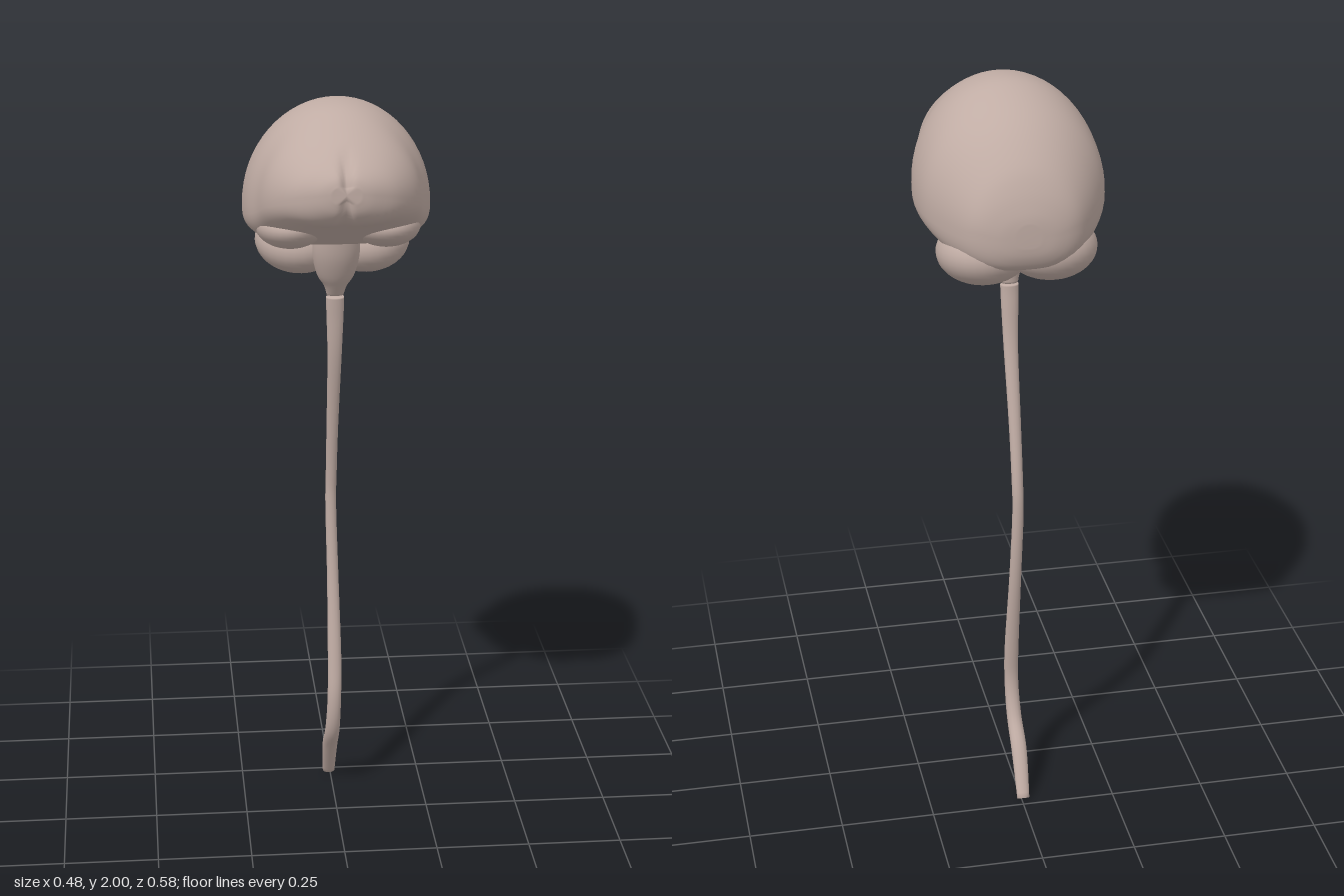
import * as THREE from 'three';

const material = new THREE.MeshStandardMaterial({ color: 0xc0aca4, roughness: 0.8 });

// Smoothly resample a table of station values
function resample(table, count) {
  const columns = table[0].map((_, c) =>
    new THREE.SplineCurve(table.map((row) => new THREE.Vector2(row[c], 0))));
  return Array.from({ length: count + 1 }, (_, i) =>
    columns.map((curve) => curve.getPoint(i / count).x));
}

// Skin over closed rings, closed at both ends
function loft(rings) {
  const n = rings[0].length;
  const points = rings.flat();
  const index = [];
  for (let i = 0; i < rings.length - 1; i++) {
    for (let j = 0; j < n; j++) {
      const a = i * n + j, b = i * n + (j + 1) % n;
      index.push(a, b, b + n, a, b + n, a + n);
    }
  }
  const last = (rings.length - 1) * n;
  const centre = (ring) => ring.reduce((s, p) => s.add(p), new THREE.Vector3()).divideScalar(n);
  const c0 = points.length;
  points.push(centre(rings[0]), centre(rings[rings.length - 1]));
  for (let j = 0; j < n; j++) {
    const k = (j + 1) % n;
    index.push(c0, k, j, c0 + 1, last + j, last + k);
  }
  const geometry = new THREE.BufferGeometry().setFromPoints(points);
  geometry.setIndex(index);
  geometry.computeVertexNormals();
  return geometry;
}

function ring(count, place) {
  return Array.from({ length: count }, (_, j) => {
    const a = (j / count) * Math.PI * 2;
    return place(Math.cos(a), Math.sin(a));
  });
}

function addMesh(group, name, geometry) {
  const mesh = new THREE.Mesh(geometry, material);
  mesh.name = name;
  group.add(mesh);
  return mesh;
}

function addLobe(group, name, position, radii, tilt = 0) {
  const mesh = addMesh(group, name, new THREE.SphereGeometry(1, 32, 20));
  mesh.position.set(...position);
  mesh.scale.set(...radii);
  mesh.rotation.x = tilt;
}

// Cerebrum sections from back to front, with a shallow notch at the front
function cerebrumGeometry() {
  // z, top, bottom, half width, height of widest point
  const stations = [
    [-0.291, 1.72, 1.66, 0.03, 1.69],
    [-0.286, 1.75, 1.63, 0.075, 1.69],
    [-0.27, 1.80, 1.60, 0.12, 1.70],
    [-0.24, 1.855, 1.585, 0.155, 1.70],
    [-0.18, 1.92, 1.58, 0.197, 1.71],
    [-0.11, 1.967, 1.60, 0.23, 1.72],
    [-0.03, 1.997, 1.62, 0.24, 1.72],
    [0.04, 1.998, 1.63, 0.233, 1.735],
    [0.10, 1.985, 1.66, 0.212, 1.75],
    [0.16, 1.955, 1.69, 0.195, 1.775],
    [0.21, 1.925, 1.715, 0.167, 1.79],
    [0.255, 1.89, 1.735, 0.125, 1.805],
    [0.283, 1.862, 1.765, 0.072, 1.815],
    [0.292, 1.84, 1.795, 0.035, 1.82],
  ];
  return loft(resample(stations, 52).map(([z, top, bottom, half, mid]) =>
    ring(64, (c, s) => {
      const power = s < 0 ? 0.7 : 1;
      const x = half * Math.sign(c) * Math.abs(c) ** power;
      const y = mid + (s < 0 ? -(mid - bottom) * Math.abs(s) ** power : (top - mid) * s);
      const notch = Math.exp(-((x / 0.012) ** 2)) * THREE.MathUtils.smoothstep(z, 0.2, 0.29);
      return new THREE.Vector3(x, y - Math.sign(s) * 0.008 * notch, z - 0.012 * notch);
    })));
}

// Brain stem sections from the bottom up
function stemGeometry() {
  // y, centre z, half width, half depth
  const stations = [
    [1.472, -0.05, 0.022, 0.014],
    [1.50, -0.042, 0.03, 0.026],
    [1.53, -0.035, 0.048, 0.04],
    [1.58, -0.022, 0.06, 0.05],
    [1.63, -0.01, 0.06, 0.05],
    [1.70, 0.0, 0.05, 0.05],
  ];
  return loft(resample(stations, 20).map(([y, z, w, d]) =>
    ring(24, (c, s) => new THREE.Vector3(w * s, y, z + d * c))));
}

// Curved spinal cord from the lower tip up
function cordGeometry() {
  // x, y, z, half width, half depth
  const stations = [
    [-0.004, 0.008, -0.228, 0.017, 0.010],
    [-0.006, 0.12, -0.160, 0.021, 0.016],
    [-0.003, 0.20, -0.103, 0.020, 0.018],
    [0, 0.30, -0.081, 0.019, 0.015],
    [0.002, 0.42, -0.094, 0.019, 0.014],
    [0, 0.65, -0.130, 0.016, 0.013],
    [-0.004, 0.85, -0.145, 0.015, 0.013],
    [-0.003, 0.95, -0.140, 0.015, 0.014],
    [-0.002, 1.10, -0.112, 0.016, 0.013],
    [0, 1.30, -0.068, 0.019, 0.012],
    [0, 1.42, -0.054, 0.023, 0.014],
    [0, 1.467, -0.050, 0.024, 0.016],
  ];
  const rows = resample(stations, 66);
  const centres = rows.map(([x, y, z]) => new THREE.Vector3(x, y, z));
  const side = new THREE.Vector3(1, 0, 0);
  return loft(rows.map((row, i) => {
    const next = centres[Math.min(i + 1, rows.length - 1)];
    const along = next.clone().sub(centres[Math.max(i - 1, 0)]).normalize();
    const front = side.clone().cross(along);
    return ring(14, (c, s) => centres[i].clone()
      .addScaledVector(front, row[4] * c).addScaledVector(side, row[3] * s));
  }));
}

export function createModel() {
  const group = new THREE.Group();
  group.name = 'brainAndSpinalCord';
  addMesh(group, 'cerebrum', cerebrumGeometry());
  for (const [label, m] of [['left', 1], ['right', -1]]) {
    addLobe(group, label + 'TemporalLobe', [m * 0.122, 1.68, 0.035], [0.088, 0.056, 0.13], -0.12);
    addLobe(group, label + 'Cerebellum', [m * 0.085, 1.602, -0.14], [0.118, 0.084, 0.126], 0.15);
  }
  addMesh(group, 'brainStem', stemGeometry());
  addMesh(group, 'spinalCord', cordGeometry());
  return group;
}
